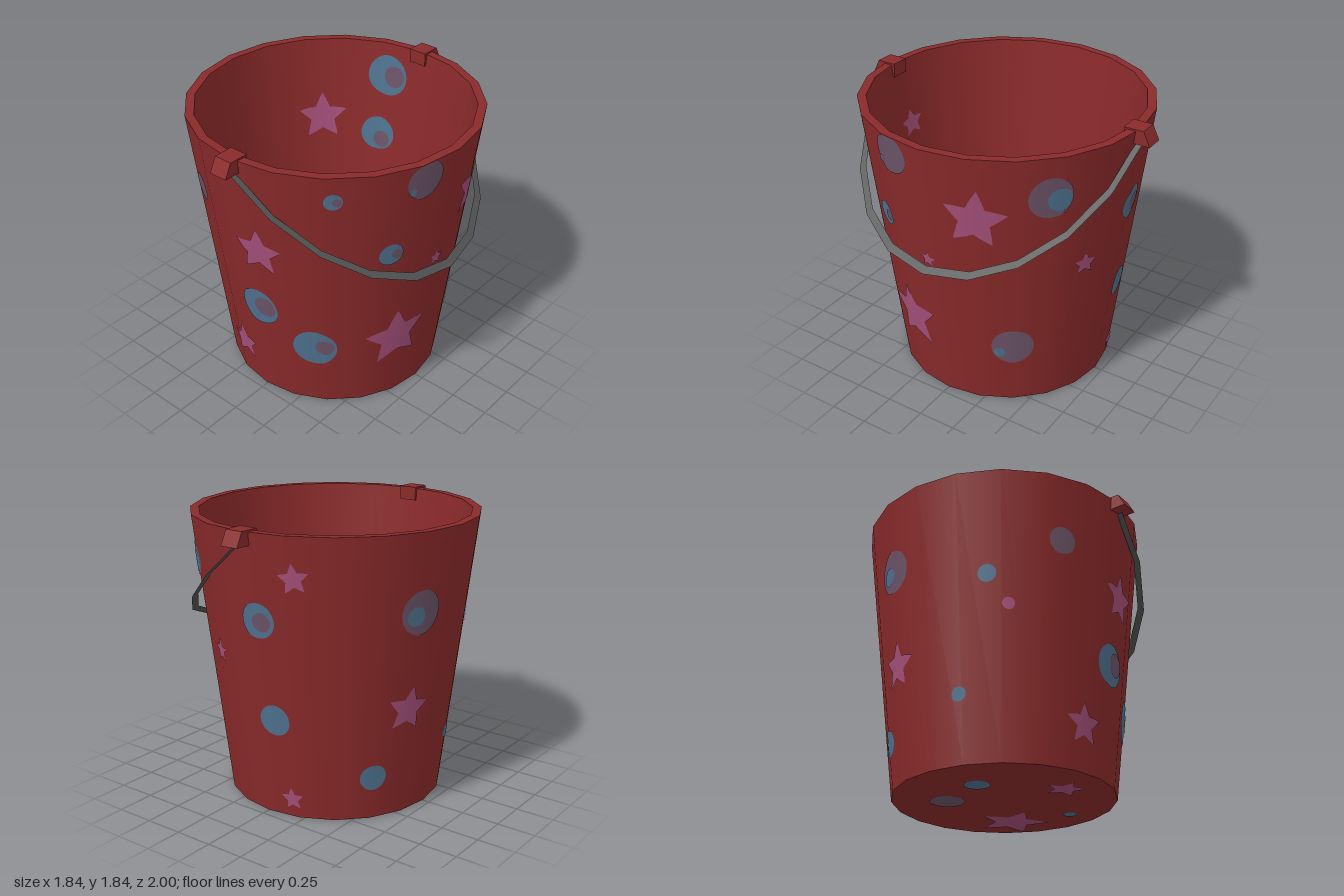
import * as THREE from 'three';

const SIDES = 20, HEIGHT = 1.83, FLOOR = 0.06, SEG = (Math.PI * 2) / SIDES;
const red = new THREE.MeshStandardMaterial({ color: 0x8a2a2a });
red.name = 'bucket red';
const pink = new THREE.MeshStandardMaterial({ color: 0xa5507a });
pink.name = 'star pink';
const blue = new THREE.MeshStandardMaterial({ color: 0x4e7390 });
blue.name = 'spot blue';
const mauve = new THREE.MeshStandardMaterial({ color: 0x6c5468 });
mauve.name = 'spot mauve';
const grey = new THREE.MeshStandardMaterial({ color: 0x505452, side: THREE.DoubleSide });
grey.name = 'handle grey';

// Wall radii at a height, and the radius of the 20-sided ring at an angle
const outerRadius = (y) => 0.70 + 0.1175 * y;
const innerRadius = (y) => 0.655 + 0.112 * y;
const ringRadius = (r, a) => {
  const f = ((a % SEG) + SEG) % SEG;
  return (r * Math.cos(SEG / 2)) / Math.cos(f - SEG / 2);
};

// Outlines in polar form, for a radius of 1
const disc = () => 1;
const star = (t) => {
  const step = Math.PI / 5, inner = 0.47;
  let f = (t - Math.PI / 2) % (2 * step);
  if (f < 0) f += 2 * step;
  if (f > step) f = 2 * step - f;
  const r = (inner * Math.sin(step)) / (inner * Math.sin(step - f) + Math.sin(f));
  return Math.min(r, 0.96);
};

// A thin decal made of rings; place(u, v) gives [position, normal]
function decal(name, outline, material, radius, tilt, place) {
  const rings = 6, n = 40, pos = [], nor = [], index = [];
  for (let i = 0; i <= rings; i++) {
    for (let j = 0; j < n; j++) {
      const t = (j / n) * Math.PI * 2 + Math.PI / 2;
      const r = (radius * outline(t) * i) / rings;
      const [p, q] = place(r * Math.cos(t + tilt), r * Math.sin(t + tilt));
      pos.push(...p);
      nor.push(...q);
      if (i === rings) continue;
      const a = i * n + j, b = i * n + ((j + 1) % n);
      index.push(a, a + n, b + n);
      if (i > 0) index.push(a, b + n, b);
    }
  }
  const g = new THREE.BufferGeometry();
  g.setAttribute('position', new THREE.Float32BufferAttribute(pos, 3));
  g.setAttribute('normal', new THREE.Float32BufferAttribute(nor, 3));
  g.setIndex(index);
  const mesh = new THREE.Mesh(g, material);
  mesh.name = name;
  return mesh;
}

// Placement on the outer (side = 1) or inner (side = -1) wall
const onWall = (side, angle, height, lift) => (u, v) => {
  const y = Math.min(height + v, HEIGHT - 0.002);
  const r = side > 0 ? outerRadius(y) : innerRadius(y);
  const a = angle + (side * u) / r;
  const d = ringRadius(r, a) + side * lift;
  const k = side / Math.hypot(1, 0.115);
  return [[d * Math.sin(a), y, d * Math.cos(a)], [k * Math.sin(a), -0.115 * k, k * Math.cos(a)]];
};
// Placement on the floor, facing up or down
const onFlat = (x, y, z, up) => (u, v) => [[x + u, y, z - up * v], [0, up, 0]];

export function createModel() {
  const model = new THREE.Group();
  model.name = 'bucket';
  const body = new THREE.Group();
  body.name = 'bucketBody';
  body.position.x = -0.007;
  model.add(body);

  // Shell: separate turned strips keep the rim and floor edges sharp
  const ro = outerRadius(HEIGHT), ri = innerRadius(HEIGHT), rf = innerRadius(FLOOR);
  const strips = {
    outerWall: [[0.70, 0.004], [ro, HEIGHT]],
    rim: [[ro, HEIGHT], [ri, HEIGHT]],
    innerWall: [[ri, HEIGHT], [rf, FLOOR]],
    floor: [[rf, FLOOR], [0, FLOOR]],
    base: [[0, 0.004], [0.70, 0.004]],
  };
  for (const [name, pts] of Object.entries(strips)) {
    const g = new THREE.LatheGeometry(pts.map((p) => new THREE.Vector2(...p)), SIDES);
    const mesh = new THREE.Mesh(g, red);
    mesh.name = name;
    body.add(mesh);
  }

  // Wall stars: side, angle, height, radius, tilt
  const stars = [
    [1, 0.13, 1.19, 0.175, 0], [1, -0.227, 0.29, 0.14, 0.05], [1, 1.235, 0.51, 0.235, 0.08],
    [1, 1.926, 1.42, 0.21, -0.1], [1, 2.75, 1.02, 0.085, 0], [1, 3.507, 1.576, 0.1, 0.1],
    [1, 4.38, 0.72, 0.16, -0.15], [1, 3.40, 0.13, 0.08, 0.1], [1, 1.535, 1.05, 0.06, 0],
    [-1, 3.959, 1.28, 0.18, 0], [-1, 1.54, 1.43, 0.13, 0], [-1, -0.07, 1.39, 0.1, 0.1],
    [-1, 0.805, 0.33, 0.2, 0], [-1, 1.72, 0.2, 0.12, 0], [-1, 2.61, 0.87, 0.16, 0],
  ];
  for (const [side, a, y, r, tilt] of stars) {
    body.add(decal('wallStar', star, pink, r, tilt, onWall(side, a, y, 0.005)));
  }

  // Wall spots: colour, side, angle, height, radius
  const spots = [
    [mauve, 1, -0.497, 1.40, 0.088], [blue, 1, 0.064, 0.725, 0.135], [blue, 1, 0.535, 0.485, 0.14],
    [blue, 1, -1.046, 1.15, 0.057], [pink, 1, -0.89, 0.955, 0.038], [blue, 1, -1.28, 0.42, 0.045],
    [blue, 1, 0.69, 1.665, 0.055], [mauve, 1, 1.306, 1.715, 0.125], [blue, 1, 1.10, 1.225, 0.078],
    [mauve, 1, 2.43, 1.565, 0.135], [mauve, 1, 2.19, 0.455, 0.133], [blue, 1, 3.22, 1.297, 0.11],
    [mauve, 1, 4.41, 1.34, 0.14], [blue, 1, 3.29, 0.66, 0.1], [blue, 1, 4.10, 0.29, 0.085],
    [blue, -1, 3.40, 1.61, 0.14], [blue, -1, 3.457, 1.18, 0.12], [mauve, -1, 0.60, 1.32, 0.145],
    [blue, -1, 1.38, 0.70, 0.1], [blue, -1, -1.99, 0.70, 0.11], [blue, -1, -0.507, 0.60, 0.05],
  ];
  for (const [material, side, a, y, r] of spots) {
    body.add(decal('wallSpot', disc, material, r, 0, onWall(side, a, y, 0.005)));
  }

  // Second-tone patches inside some of the spots
  const patches = [
    [mauve, 1, 0.125, 0.74, 0.075], [mauve, 1, 0.62, 0.50, 0.06], [mauve, 1, 0.715, 1.665, 0.028],
    [blue, 1, 1.21, 1.66, 0.022], [mauve, 1, 1.145, 1.225, 0.035], [blue, 1, 2.49, 1.55, 0.075],
    [blue, 1, 2.08, 0.41, 0.035], [mauve, 1, 3.25, 1.29, 0.06], [blue, 1, 4.36, 1.32, 0.06],
    [mauve, -1, 3.34, 1.61, 0.075], [mauve, -1, 3.42, 1.14, 0.06],
  ];
  for (const [material, side, a, y, r] of patches) {
    body.add(decal('spotPatch', disc, material, r, 0, onWall(side, a, y, 0.009)));
  }

  // Floor (up = 1) and underside (up = -1): outline, colour, x, z, radius, tilt, up
  const flats = [
    [star, pink, -0.12, 0.37, 0.135, -0.25, 1], [disc, mauve, 0.295, -0.22, 0.115, 0, 1],
    [disc, blue, -0.28, -0.165, 0.054, 0, 1], [star, pink, 0.38, -0.216, 0.24, 0.6, -1],
    [star, pink, 0.027, 0.437, 0.135, 0.6, -1], [disc, blue, 0.464, 0.177, 0.045, 0, -1],
    [disc, mauve, -0.217, -0.275, 0.11, 0, -1], [disc, blue, -0.353, 0.067, 0.08, 0, -1],
  ];
  for (const [outline, material, x, z, r, tilt, up] of flats) {
    const y = up > 0 ? FLOOR + 0.004 : 0;
    body.add(decal(up > 0 ? 'floorMark' : 'undersideMark', outline, material, r, tilt, onFlat(x, y, z, up)));
  }

  // Clips over the rim that hold the handle, front and back
  const profile = new THREE.Shape([[1, 1.75], [0.955, 1.84], [0.83, 1.84], [0.83, 1.75]]
    .map((p) => new THREE.Vector2(...p)));
  for (const turn of [-1, 1]) {
    const g = new THREE.ExtrudeGeometry(profile, { depth: 0.12, bevelEnabled: false });
    g.translate(0, 0, -0.06);
    g.rotateY((turn * Math.PI) / 2);
    const clip = new THREE.Mesh(g, red);
    clip.name = turn < 0 ? 'frontClip' : 'backClip';
    clip.position.x = -0.007;
    model.add(clip);
  }

  // Handle: a flat ribbon hanging down on the left side
  const pos = [], index = [];
  for (let k = 0; k <= 10; k++) {
    const t = (k / 10 - 0.5) * Math.PI, c = Math.cos(t), s = Math.sin(t);
    pos.push(0.92 * c, 1.76 - 0.75 * c, 0.94 * s, 0.878 * c, 1.76 - 0.716 * c, 0.9 * s);
    const i = 2 * k;
    if (k < 10) index.push(i, i + 2, i + 1, i + 1, i + 2, i + 3);
  }
  const ribbon = new THREE.BufferGeometry();
  ribbon.setAttribute('position', new THREE.Float32BufferAttribute(pos, 3));
  ribbon.setIndex(index);
  ribbon.computeVertexNormals();
  const handle = new THREE.Mesh(ribbon, grey);
  handle.name = 'handle';
  handle.position.x = -0.007;
  model.add(handle);

  return model;
}
